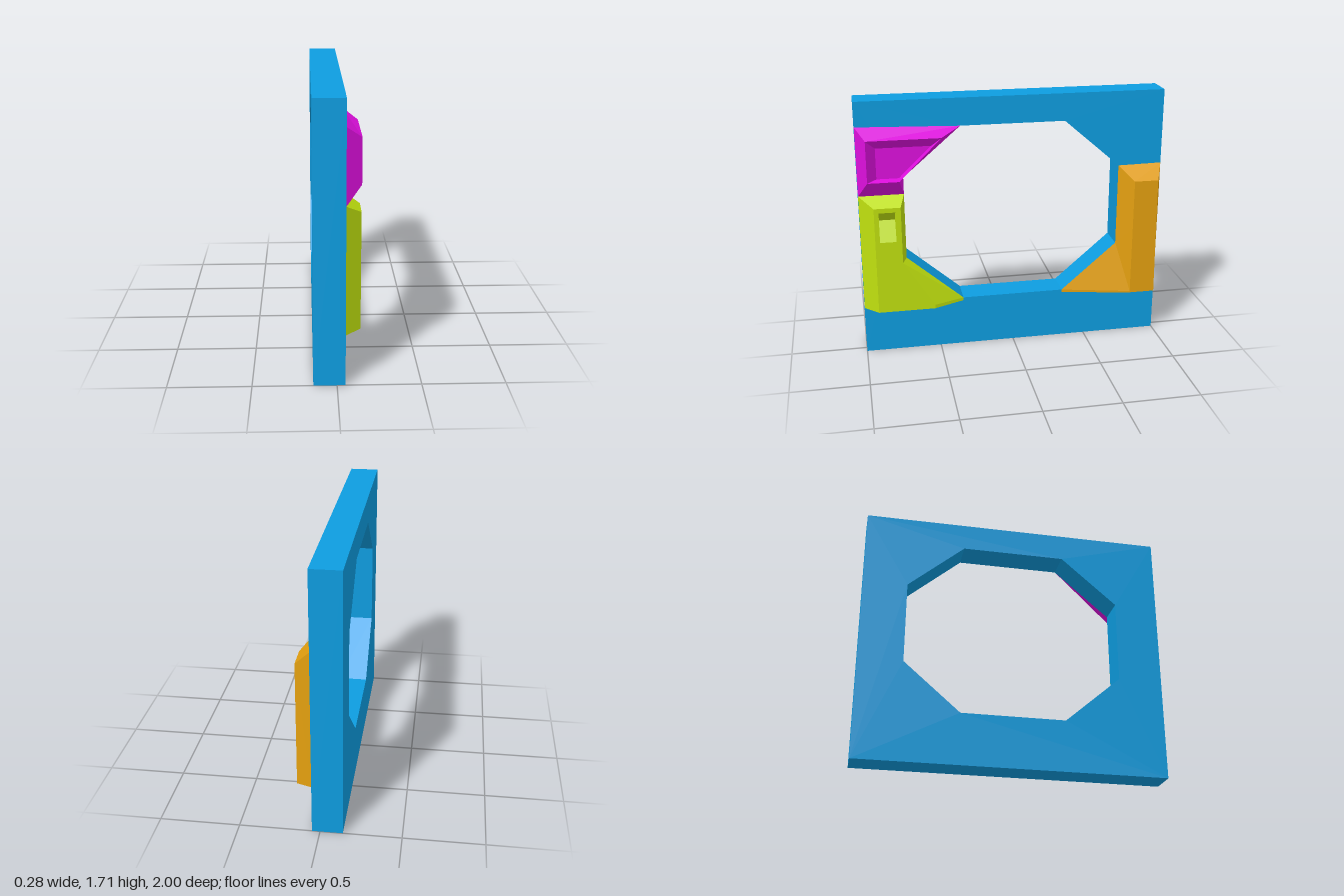
import * as THREE from 'three';

const FACE = 0.05, TOP = 0.14; // slab face and raised face heights along x
const vecs = (pts) => pts.map(([u, y]) => new THREE.Vector2(u, y));

// Profiles are drawn as [u, y] with u = -z, then turned so depth runs along +x.
function addMesh(group, name, geometry, color) {
  geometry.rotateY(Math.PI / 2);
  const material = new THREE.MeshStandardMaterial({ color, flatShading: true });
  const mesh = new THREE.Mesh(geometry, material);
  mesh.name = name;
  group.add(mesh);
}

// Sloped walls joining two loops of equal length
function band(out, a, ha, b, hb) {
  a.forEach((p, i) => {
    const j = (i + 1) % a.length;
    const A = [...p, ha], B = [...a[j], ha], C = [...b[j], hb], D = [...b[i], hb];
    out.push(...A, ...B, ...C, ...A, ...C, ...D);
  });
}

// Flat face, optionally with a hole
function cap(out, loop, h, hole) {
  const holes = hole ? [vecs(hole).reverse()] : [];
  const all = [...vecs(loop), ...holes.flat()];
  for (const tri of THREE.ShapeUtils.triangulateShape(vecs(loop), holes))
    for (const i of tri) out.push(all[i].x, all[i].y, h);
}

function fromTriangles(out) {
  const g = new THREE.BufferGeometry();
  g.setAttribute('position', new THREE.Float32BufferAttribute(out, 3));
  g.computeVertexNormals();
  return g;
}

export function createModel() {
  const model = new THREE.Group();

  // Slab with an eight-sided opening
  const slab = new THREE.Shape(vecs([[-1, 0], [1, 0], [1, 1.71], [-1, 1.71]]));
  slab.holes.push(new THREE.Path(vecs([
    [-0.34, 0.34], [-0.71, 0.66], [-0.71, 1.21], [-0.34, 1.53],
    [0.34, 1.53], [0.71, 1.21], [0.71, 0.66], [0.34, 0.34],
  ])));
  const slabGeo = new THREE.ExtrudeGeometry(slab, { depth: 0.19, bevelEnabled: false });
  slabGeo.translate(0, 0, FACE - 0.19);
  addMesh(model, 'wallFrame', slabGeo, 0x0d9cdf);

  // Upper corner block with a sunken panel
  const upper = [];
  const rim = [[-0.94, 1.21], [-0.74, 1.21], [-0.47, 1.48], [-0.94, 1.48]];
  const panel = [[-0.88, 1.22], [-0.74, 1.22], [-0.53, 1.42], [-0.88, 1.42]];
  band(upper,
    [[-1, 1.1], [-0.71, 1.1], [-0.71, 1.21], [-0.34, 1.53], [-1, 1.55]], FACE,
    [rim[0], rim[1], rim[1], rim[2], rim[3]], TOP);
  band(upper, rim, TOP, panel, 0.09);
  cap(upper, panel, 0.09);
  addMesh(model, 'upperCornerBlock', fromTriangles(upper), 0xdc0fdc);

  // Lower corner block with a wedge-shaped notch
  const lower = [];
  const lowerTop = [[-0.91, 0.32], [-0.54, 0.32], [-0.54, 0.345],
    [-0.74, 0.66], [-0.74, 1.04], [-0.91, 1.04]];
  const notch = [[-0.88, 0.81], [-0.775, 0.81], [-0.775, 1.01], [-0.88, 1.01]];
  band(lower,
    [[-1, 0.32], [-0.34, 0.32], [-0.34, 0.34], [-0.71, 0.66], [-0.71, 1.1], [-1, 1.1]], FACE,
    lowerTop, TOP);
  cap(lower, lowerTop, TOP, notch);
  const l = -0.88, r = -0.775;
  band(lower, notch, TOP, [[l, 0.94], [r, 0.94], [r, 0.94], [l, 0.94]], 0.075);
  addMesh(model, 'lowerCornerBlock', fromTriangles(lower), 0xbfe00f);

  // Side buttress flaring out toward its foot
  const side = [];
  const sideTop = [[0.8, 0.32], [0.97, 0.32], [0.96, 1.12], [0.8, 1.12]];
  band(side,
    [[0.34, 0.32], [1, 0.32], [1, 1.215], [0.71, 1.21], [0.71, 0.66], [0.34, 0.34]], FACE,
    [...sideTop, [0.8, 0.79], [0.8, 0.33]], TOP);
  cap(side, sideTop, TOP);
  addMesh(model, 'sideButtress', fromTriangles(side), 0xe29f0f);

  return model;
}
